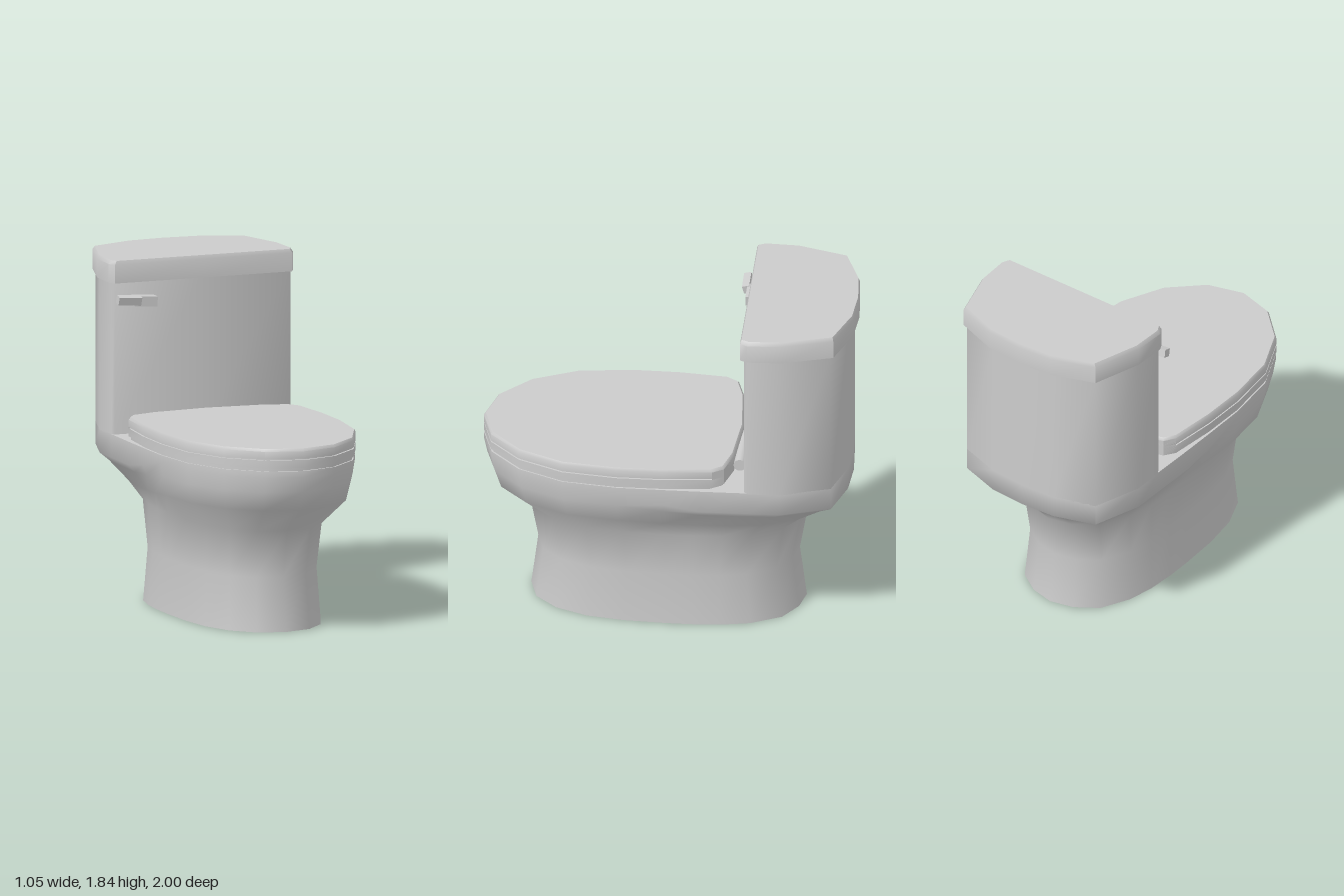
import * as THREE from 'three';
import { toCreasedNormals } from 'three/addons/utils/BufferGeometryUtils.js';

const material = new THREE.MeshStandardMaterial({ color: 0xcccccc });
const shellMaterial = new THREE.MeshStandardMaterial({ color: 0xcccccc, side: THREE.DoubleSide });

// Half outlines as [x, z], from front centre round the left side to back centre
const FOOT = [[0, 0.745], [0.15, 0.705], [0.26, 0.59], [0.33, 0.42], [0.36, 0.22], [0.37, 0],
  [0.37, -0.15], [0.36, -0.3], [0.33, -0.45], [0.25, -0.61], [0.13, -0.69], [0, -0.72]];
const RIM = [[0, 0.997], [0.2, 0.938], [0.368, 0.78], [0.478, 0.54], [0.515, 0.25], [0.517, 0],
  [0.516, -0.2], [0.512, -0.45], [0.51, -0.62], [0.425, -0.885], [0.2, -0.957], [0, -0.97]];
const SEAT = [[0, 0.998], [0.2, 0.942], [0.372, 0.78], [0.482, 0.54], [0.517, 0.25], [0.515, 0],
  [0.49, -0.26], [0.45, -0.32], [0.31, -0.36], [0, -0.385]];
const TANK = [[0, -0.43], [0.5, -0.43], ...RIM.slice(7)];
const TANK_LID = [[0, -0.41], [0.507, -0.41], [0.527, -0.45], [0.52, -0.63], [0.437, -0.9], [0.2, -0.985], [0, -1]];
const SEAT_BACK = [[0, -0.27], ...SEAT.slice(6)];

// Mirror a half ring of [x, y, z] into a closed loop
const mirrorRing = (half) => [...half, ...half.slice(1, -1).reverse().map(([x, y, z]) => [-x, y, z])];

// Flat ring of an outline at height y, scaled about z = zc
const flatRing = (outline, y, s = 1, zc = 0) =>
  mirrorRing(outline.map(([x, z]) => [x * s, y, zc + (z - zc) * s]));

// Skin closed rings from bottom to top, cap the top and, unless open, the bottom
function loft(rings, crease, openBottom = false) {
  const n = rings[0].length;
  const pos = rings.flat(2);
  const index = [];
  for (let r = 0; r < rings.length - 1; r++) {
    for (let i = 0; i < n; i++) {
      const a = r * n + i, b = r * n + (i + 1) % n;
      index.push(a, b, b + n, a, b + n, a + n);
    }
  }
  for (const top of openBottom ? [true] : [false, true]) {
    const r = top ? rings.length - 1 : 0;
    const c = pos.length / 3;
    const zs = rings[r].map((p) => p[2]);
    pos.push(0, rings[r][0][1], (Math.max(...zs) + Math.min(...zs)) / 2);
    for (let i = 0; i < n; i++) {
      const a = r * n + i, b = r * n + (i + 1) % n;
      index.push(c, ...(top ? [a, b] : [b, a]));
    }
  }
  const g = new THREE.BufferGeometry();
  g.setAttribute('position', new THREE.Float32BufferAttribute(pos, 3));
  g.setIndex(index);
  return toCreasedNormals(g, crease);
}

function add(parent, name, geometry, mat = material) {
  const mesh = new THREE.Mesh(geometry, mat);
  mesh.name = name;
  parent.add(mesh);
  return mesh;
}

// Pedestal ring swelling to the rim; front and back follow different profiles
function bodyRing([tFront, yFront], [tBack, yBack]) {
  return mirrorRing(FOOT.map(([fx, fz], i) => {
    const [rx, rz] = RIM[i];
    const w = THREE.MathUtils.smoothstep(-rz, -0.3, 0.2);
    const t = THREE.MathUtils.lerp(tFront, tBack, w);
    return [THREE.MathUtils.lerp(fx, rx, t), THREE.MathUtils.lerp(yFront, yBack, w),
      THREE.MathUtils.lerp(fz * 1.01, rz, t)];
  }));
}

export function createModel() {
  const model = new THREE.Group();
  model.name = 'toilet';

  // Hollow pedestal, bowl and rear deck as one skin, open at the floor
  add(model, 'bowlAndPedestal', loft([
    flatRing(FOOT, 0),
    flatRing(FOOT, 0.29, 0.95, 0.012),
    bodyRing([0.02, 0.545], [0, 0.545]),
    bodyRing([0.78, 0.685], [0.33, 0.64]),
    bodyRing([0.93, 0.79], [0.78, 0.742]),
    bodyRing([1, 0.87], [1, 0.78]),
    flatRing(RIM, 0.905),
  ], 1.2, true), shellMaterial);

  // Tank and its chamfered lid
  add(model, 'tank', loft([flatRing(TANK, 0.9), flatRing(TANK, 1.73)], 1.1));
  add(model, 'tankLid', loft([
    flatRing(TANK_LID, 1.72),
    flatRing(TANK_LID, 1.82),
    flatRing(TANK_LID, 1.84, 0.975, -0.7),
  ], 0.7));

  // Seat stack: recessed spacer between the seat ring and the cover
  add(model, 'seatSpacer', loft([flatRing(SEAT, 0.9, 0.98, 0.3), flatRing(SEAT, 0.98, 0.98, 0.3)], 0.7));
  add(model, 'seat', loft([flatRing(SEAT, 0.922), flatRing(SEAT, 0.965)], 0.7));
  add(model, 'seatCover', loft([
    flatRing(SEAT, 0.973),
    flatRing(SEAT, 1.012),
    flatRing(SEAT, 1.026, 0.985, 0.3),
  ], 0.7));

  // Solid block closing the back of the seat, and the hinge rod behind it
  add(model, 'seatBackBlock', loft([flatRing(SEAT_BACK, 0.922), flatRing(SEAT_BACK, 1.01)], 0.3));
  const hinge = add(model, 'seatHinge', new THREE.CylinderGeometry(0.033, 0.033, 0.64, 16));
  hinge.rotation.z = Math.PI / 2;
  hinge.position.set(0, 0.962, -0.392);

  // Flush lever on the right of the tank front
  const lever = new THREE.Group();
  lever.name = 'flushLever';
  lever.position.set(-0.395, 1.627, -0.4);
  lever.rotation.z = -0.07;
  add(lever, 'leverMount', new THREE.BoxGeometry(0.13, 0.055, 0.065)).position.set(0.05, -0.003, 0);
  const handle = add(lever, 'leverHandle', new THREE.BoxGeometry(0.13, 0.045, 0.04));
  handle.position.set(-0.05, 0.003, 0.035);
  handle.rotation.x = 0.25;
  model.add(lever);

  return model;
}
